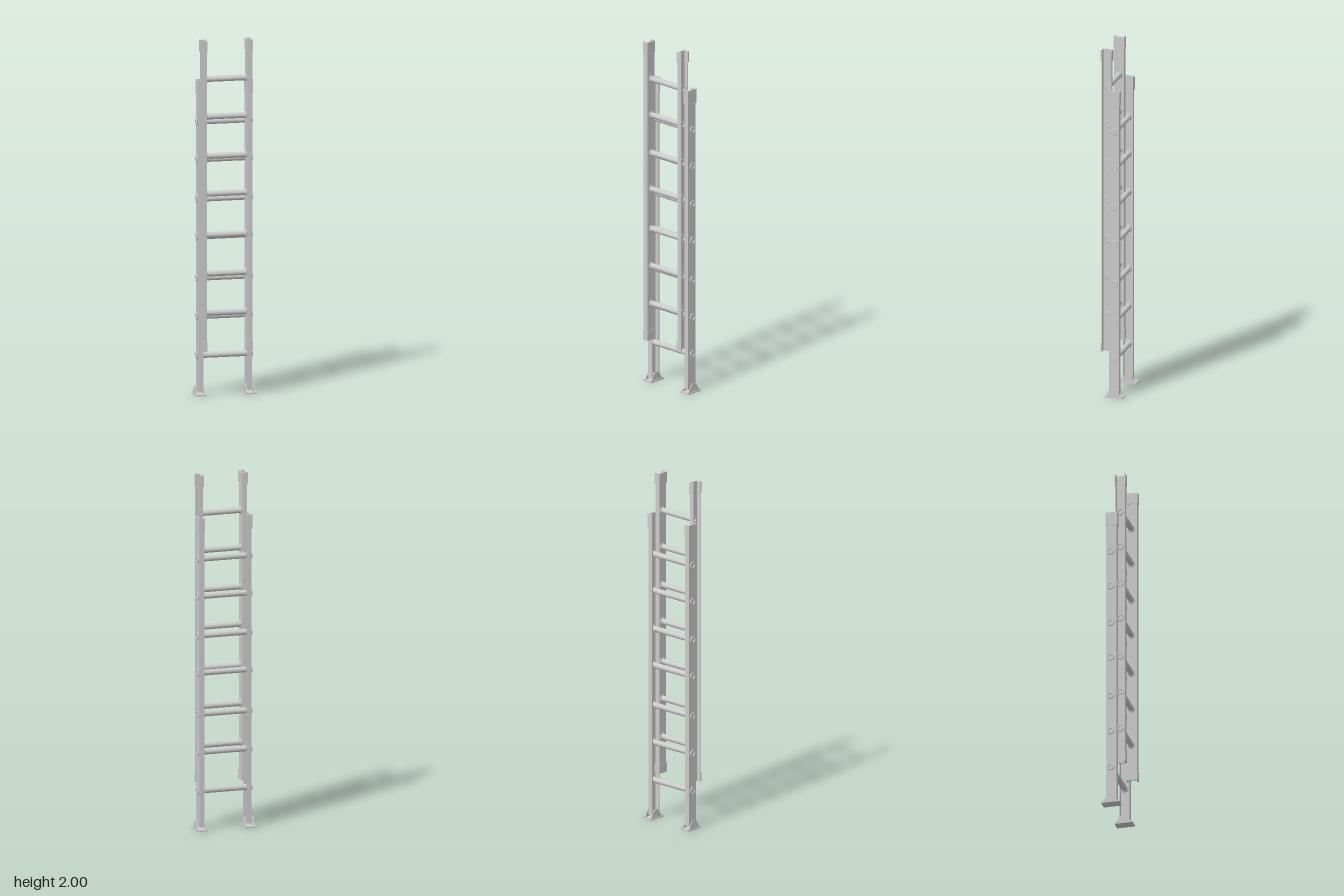
import * as THREE from 'three';

const grey = new THREE.MeshStandardMaterial({ color: 0xcccccc, side: THREE.DoubleSide });

function add(parent, name, geometry) {
  const mesh = new THREE.Mesh(geometry, grey);
  mesh.name = name;
  parent.add(mesh);
  return mesh;
}

// Upright C channel: web from xWeb, flanges reaching to xTip, between z0 and z1.
// grow swells the outside only, which turns the same profile into an end cap.
function channel(side, { xWeb, xTip, z0, z1, t }, y0, y1, grow = 0) {
  const d = Math.sign(xTip - xWeb);
  const a = xWeb - d * grow, b = xTip + d * grow;
  const back = z0 - grow, front = z1 + grow;
  const outline = [
    [a, back], [b, back], [b, z0 + t], [xWeb + d * t, z0 + t],
    [xWeb + d * t, z1 - t], [b, z1 - t], [b, front], [a, front],
  ];
  const shape = new THREE.Shape(outline.map(([x, z]) => new THREE.Vector2(side * x, -z)));
  const geo = new THREE.ExtrudeGeometry(shape, { depth: y1 - y0, bevelEnabled: false });
  return geo.rotateX(-Math.PI / 2).translate(0, y0, 0);
}

// Ring around the x axis
function ring(x0, x1, inner, outer) {
  const h = Math.abs(x1 - x0) / 2, c = Math.min(h, 0.0015);
  const profile = [
    [inner, -h], [outer - c, -h], [outer, -h + c], [outer, h - c], [outer - c, h], [inner, h], [inner, -h],
  ].map(([r, y]) => new THREE.Vector2(r, y));
  const geo = new THREE.LatheGeometry(profile, 24).toNonIndexed();
  geo.computeVertexNormals();
  return geo.rotateZ(Math.PI / 2).translate((x0 + x1) / 2, 0, 0);
}

// One ladder section: two rails, their end caps, and hollow rungs with collars
function section(name, spec) {
  const group = new THREE.Group();
  group.name = name;
  const { rail, y0, y1, caps, rungs, rungZ, collarIn, collarOut } = spec;
  for (const side of [-1, 1]) {
    add(group, 'rail', channel(side, rail, y0, y1));
    for (const [c0, c1] of caps) add(group, 'endCap', channel(side, rail, c0, c1, 0.003));
  }
  const reach = collarOut[1];
  for (const y of rungs) {
    const rung = new THREE.Group();
    rung.name = 'rung';
    rung.position.set(0, y, rungZ);
    add(rung, 'rungTube', new THREE.CylinderGeometry(0.016, 0.016, 2 * reach - 0.002, 24, 1, true).rotateZ(Math.PI / 2));
    for (const side of [-1, 1]) {
      add(rung, 'innerCollar', ring(side * collarIn[0], side * collarIn[1], 0.015, 0.021));
      add(rung, 'outerCollar', ring(side * collarOut[0], side * collarOut[1], 0.0135, 0.021));
    }
    group.add(rung);
  }
  return group;
}

// Swivel foot: flat tread with two bell-shaped cheek plates and a pivot pin
function foot(side) {
  const group = new THREE.Group();
  group.name = 'foot';
  const cheek = new THREE.Shape();
  cheek.moveTo(-0.048, 0);
  cheek.lineTo(0.048, 0);
  cheek.lineTo(0.048, 0.004);
  cheek.quadraticCurveTo(0.031, 0.012, 0.023, 0.036);
  cheek.quadraticCurveTo(0.014, 0.048, 0, 0.048);
  cheek.quadraticCurveTo(-0.014, 0.048, -0.023, 0.036);
  cheek.quadraticCurveTo(-0.031, 0.012, -0.048, 0.004);
  for (const x of [0.116, 0.161]) {
    const geo = new THREE.ExtrudeGeometry(cheek, { depth: 0.005, bevelEnabled: false, curveSegments: 8 });
    geo.rotateY(Math.PI / 2).translate(x - 0.141, 0.006, 0);
    add(group, 'cheekPlate', geo);
  }
  add(group, 'tread', new THREE.BoxGeometry(0.061, 0.008, 0.102).translate(0, 0.004, 0));
  add(group, 'pivotPin', new THREE.CylinderGeometry(0.006, 0.006, 0.048, 16).rotateZ(Math.PI / 2).translate(0, 0.034, 0));
  group.position.set(side * 0.141, 0, -0.015);
  return group;
}

export function createModel() {
  const model = new THREE.Group();
  model.name = 'extensionLadder';

  // Lower section, channels opening inwards
  model.add(section('baseSection', {
    rail: { xWeb: 0.152, xTip: 0.123, z0: -0.042, z1: 0.017, t: 0.005 },
    y0: 0.02, y1: 1.767, caps: [[1.69, 1.77]],
    rungs: [0.222, 0.441, 0.657, 0.889, 1.101, 1.323, 1.535],
    rungZ: -0.015, collarIn: [0.139, 0.147], collarOut: [0.152, 0.159],
  }));

  // Sliding upper section, channels opening outwards and hooked into the base
  model.add(section('flySection', {
    rail: { xWeb: 0.114, xTip: 0.142, z0: 0.006, z1: 0.063, t: 0.005 },
    y0: 0.257, y1: 1.998, caps: [[0.255, 0.31], [1.935, 2]],
    rungs: [0.467, 0.688, 0.905, 1.137, 1.349, 1.571, 1.782],
    rungZ: 0.032, collarIn: [0.107, 0.114], collarOut: [0.119, 0.126],
  }));

  for (const side of [-1, 1]) model.add(foot(side));
  return model;
}
